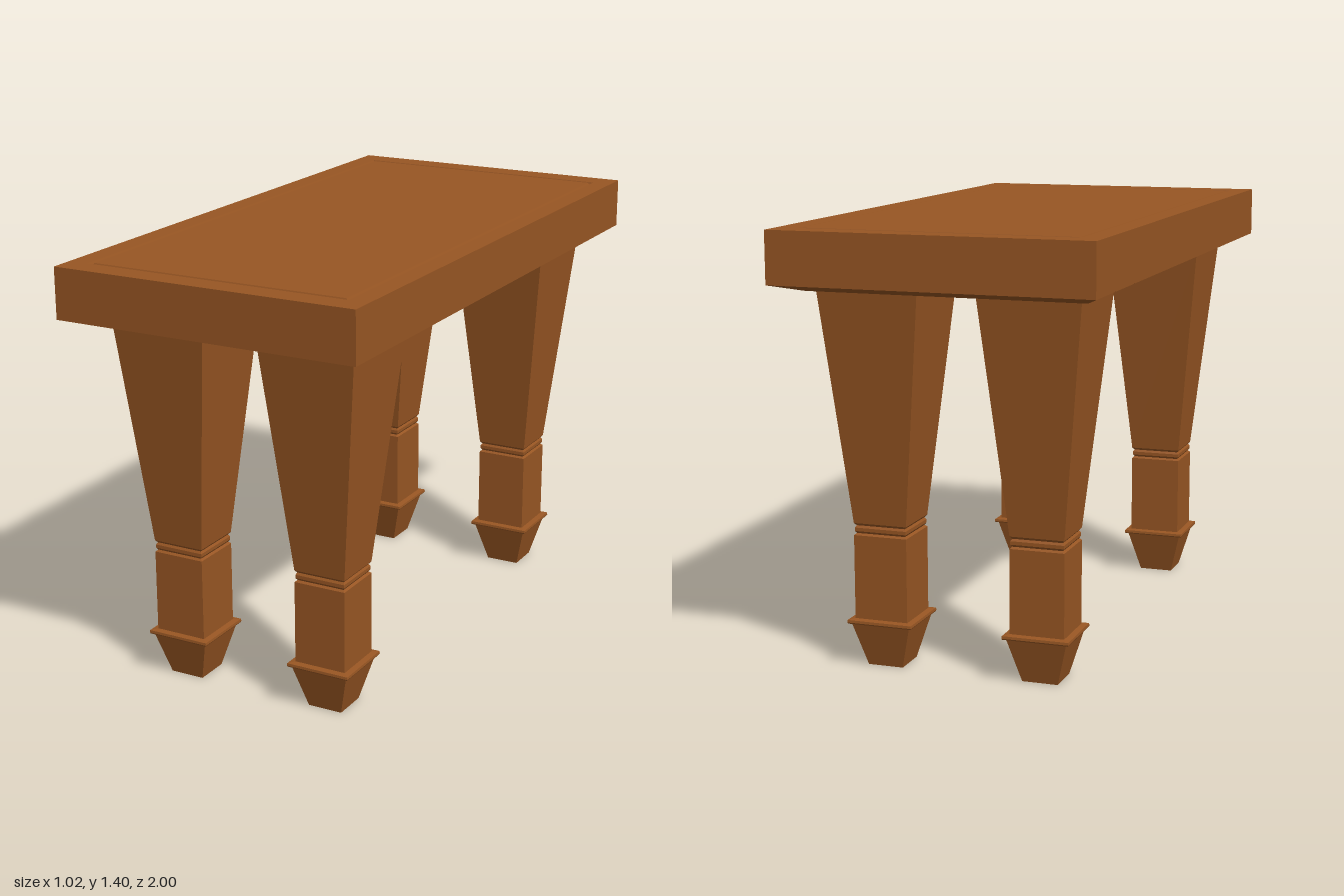
import * as THREE from 'three';

// Loft rectangular rings [halfX, halfZ, y], listed from the bottom round to the top, with end caps
function loftRects(rings, capBottom = true) {
  const pos = [];
  const corners = ([hx, hz, y]) => [[-hx, y, hz], [hx, y, hz], [hx, y, -hz], [-hx, y, -hz]];
  const quad = (a, b, c, d) => pos.push(...a, ...b, ...c, ...a, ...c, ...d);
  const loops = rings.map(corners);
  for (let i = 0; i < loops.length - 1; i++) {
    const lo = loops[i], hi = loops[i + 1];
    for (let k = 0; k < 4; k++) {
      const n = (k + 1) % 4;
      quad(lo[k], lo[n], hi[n], hi[k]);
    }
  }
  const [a, b, c, d] = loops[0];
  if (capBottom) quad(d, c, b, a);
  quad(...loops[loops.length - 1]);
  const geo = new THREE.BufferGeometry();
  geo.setAttribute('position', new THREE.Float32BufferAttribute(pos, 3));
  geo.computeVertexNormals();
  return geo;
}

export function createModel() {
  const wood = new THREE.MeshStandardMaterial({ color: 0x985623 });
  wood.name = 'warmWood';
  const rawWood = new THREE.MeshStandardMaterial({ color: 0x946b38 });
  rawWood.name = 'unfinishedWood';

  const table = new THREE.Group();
  table.name = 'table';
  const add = (name, geo, mat, x = 0, y = 0, z = 0) => {
    const mesh = new THREE.Mesh(geo, mat);
    mesh.name = name;
    mesh.position.set(x, y, z);
    table.add(mesh);
    return mesh;
  };

  // Table top: bevelled underneath, with a routed groove around the upper panel
  add('tableTop', loftRects([
    [0.447, 0.867, 1.205],
    [0.512, 1.0, 1.235],
    [0.512, 1.0, 1.4],
    [0.447, 0.921, 1.4],
    [0.443, 0.917, 1.392],
    [0.436, 0.91, 1.392],
    [0.432, 0.906, 1.4],
  ], false), wood);

  // Unfinished underside
  const underside = new THREE.PlaneGeometry(0.894, 1.734).rotateX(Math.PI / 2);
  add('underside', underside, rawWood, 0, 1.205, 0);

  // Square leg profile: [half width, height]
  const legProfile = [
    [0.058, 0], [0.097, 0.143],                                   // tapered foot
    [0.106, 0.143], [0.108, 0.147], [0.107, 0.155], [0.088, 0.158], // collar
    [0.088, 0.428], [0.081, 0.434], [0.086, 0.441],               // lower groove
    [0.086, 0.452], [0.081, 0.459], [0.088, 0.467],               // upper groove
    [0.164, 1.206],                                               // flared upper leg
  ];
  const legGeo = loftRects(legProfile.map(([h, y]) => [h, h, y]));
  for (const [side, x] of [['Left', 0.258], ['Right', -0.258]]) {
    add('front' + side + 'Leg', legGeo, wood, x, 0, 0.68);
    add('back' + side + 'Leg', legGeo, wood, x, 0, -0.68);
  }
  return table;
}
